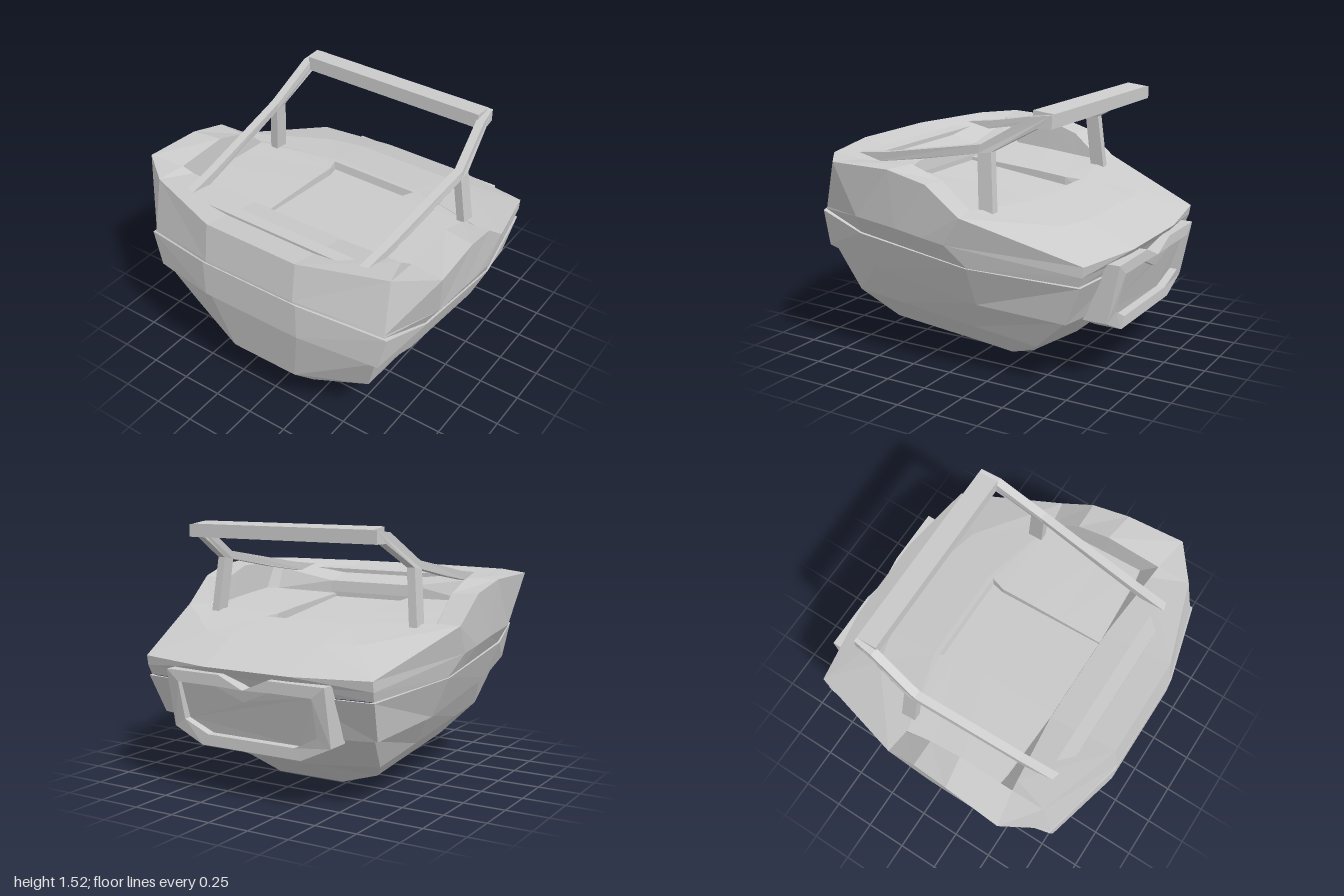
import * as THREE from 'three';

const material = new THREE.MeshStandardMaterial({ color: 0xcccccc, flatShading: true });

function add(group, name, geometry) {
  const mesh = new THREE.Mesh(geometry, material);
  mesh.name = name;
  group.add(mesh);
}

// Skin over symmetric loops. Each loop lists its +x half from front to rear;
// loops run from the top middle outward and down.
function loft(halves, capTop = false, capBottom = false) {
  const pos = [];
  const mirror = ([x, y, z]) => [-x, y, z];
  const tri = (a, b, c) => {
    const t = new THREE.Triangle(...[a, b, c].map(p => new THREE.Vector3(...p)));
    if (t.getArea() > 1e-6) pos.push(...a, ...b, ...c);
  };
  const quad = (a, b, c, d) => { tri(a, b, c); tri(a, c, d); };
  const loops = halves.map(h => [...h, ...h.map(mirror).reverse()]);
  for (let k = 0; k < loops.length - 1; k++) {
    const a = loops[k], b = loops[k + 1], n = a.length;
    for (let i = 0; i < n; i++) {
      const j = (i + 1) % n;
      // the diagonal runs from front low to rear high on both sides
      if (i < n / 2) quad(b[i], b[j], a[j], a[i]);
      else quad(a[i], b[i], b[j], a[j]);
    }
  }
  const cap = (h, up) => {
    for (let i = 0; i < h.length - 1; i++) {
      const q = [h[i], h[i + 1], mirror(h[i + 1]), mirror(h[i])];
      quad(...(up ? q : q.reverse()));
    }
  };
  if (capTop) cap(halves[0], true);
  if (capBottom) cap(halves[halves.length - 1], false);
  const g = new THREE.BufferGeometry();
  g.setAttribute('position', new THREE.Float32BufferAttribute(pos, 3));
  g.computeVertexNormals();
  return g;
}

const shape = pts => new THREE.Shape(pts.map(p => new THREE.Vector2(...p)));

// Extrude a [z, y] outline across x, centred on x = 0
function sideExtrude(outline, width) {
  const g = new THREE.ExtrudeGeometry(shape(outline.map(([z, y]) => [-z, y])), { depth: width, bevelEnabled: false });
  return g.translate(0, 0, -width / 2).rotateY(Math.PI / 2);
}

// Move every vertex by a rule
function warp(g, rule) {
  const p = g.attributes.position;
  for (let i = 0; i < p.count; i++) p.setXYZ(i, ...rule(p.getX(i), p.getY(i), p.getZ(i)));
  g.computeVertexNormals();
  return g;
}

export function createModel() {
  const model = new THREE.Group();
  model.name = 'boatBody';

  // Upper body: shallow floor channel, deck, rim and outer walls
  const channel = [[.26, 1, .475], [.26, 1, .475], [.26, 1, .475], [.26, .965, .2], [.26, .94, 0], [.26, .915, -.2], [.28, .905, -.28], [.28, .905, -.28]];
  const channelEdge = [[.26, 1.02, .475], [.26, 1.02, .475], [.26, 1.02, .475], [.26, 1, .2], [.26, .985, 0], [.26, .965, -.2], [.29, .955, -.29], [.29, .955, -.29]];
  const deck = [[.3, 1.03, .475], [.7, 1.03, .455], [.785, 1.03, .44], [.785, 1.01, .2], [.785, .99, 0], [.785, .975, -.18], [.3, .95, -.32], [.3, .95, -.32]];
  const rimInner = [[.3, 1.1, .485], [.72, 1.16, .53], [.79, 1.19, .54], [.79, 1.2, .2], [.79, 1.13, 0], [.79, .98, -.18], [.5, .885, -.58], [.3, .88, -.63]];
  const rimOuter = [[.3, 1.2, .9], [.79, 1.21, .74], [1, 1.21, .58], [.975, 1.2, .23], [.955, 1.14, 0], [.94, .98, -.2], [.75, .76, -.84], [.28, .75, -.915]];
  const wall = [[.3, .97, .934], [.8, .885, .802], [.94, .9, .48], [.935, .865, .22], [.93, .835, .05], [.92, .81, -.09], [.75, .7, -.83], [.28, .7, -.88]];
  const wallFoot = [[.3, .955, .935], [.8, .87, .805], [.87, .79, .5], [.87, .745, .2], [.87, .715, 0], [.87, .685, -.2], [.74, .645, -.81], [.28, .645, -.85]];
  add(model, 'upperBody', loft([channel, channelEdge, deck, rimInner, rimOuter, wall, wallFoot], true));

  // Belt band around the middle, slightly proud of the hull
  const inset = h => h.map(([x, y, z]) => [x * .965, y, z * .98]);
  const bandTop = [[.32, .95, .938], [.82, .865, .812], [.88, .785, .5], [.88, .685, -.2], [.75, .64, -.82], [.28, .64, -.86]];
  const bandBottom = [[.32, .72, .938], [.77, .645, .815], [.79, .565, .5], [.775, .45, -.2], [.715, .41, -.72], [.25, .39, -.77]];
  add(model, 'beltBand', loft([inset(bandTop), bandTop, bandBottom, inset(bandBottom)]));

  // Faceted lower hull with a flat-bottomed keel strip
  const bilge = [[.22, .3, .84], [.64, .35, .7], [.632, .315, .42], [.615, .25, -.08], [.6, .2, -.48], [.2, .17, -.53]];
  const chine = [[.22, .11, .66], [.46, .15, .56], [.458, .13, .35], [.455, .097, 0], [.45, .07, -.24], [.22, 0, -.25]];
  const keel = [.66, .56, .35, 0, -.23, -.25].map(z => [.22, (z + .25) * .121, z]);
  add(model, 'lowerHull', loft([inset(bandBottom), bilge, chine, keel], false, true));

  // Roll bar sides: sloping rail, post and raised arm in one outline
  const barOutline = [[.73, 1.13], [.73, 1.18], [.48, 1.21], [-.17, 1.325], [-.46, 1.495], [-.58, 1.51], [-.58, 1.435], [-.5, 1.435], [-.24, 1.29], [-.27, .95], [-.18, .95], [-.155, 1.275], [.23, 1.2], [.65, 1.13]];
  const barX = (y, z) => {
    if (z > -.1) return .595 + (.7 - z) * .065;
    return y > 1.3 ? .65 - (-.17 - z) * .12 : .65 + (1.3 - y) * .1;
  };
  for (const [side, name] of [[1, 'leftRollBar'], [-1, 'rightRollBar']])
    add(model, name, warp(sideExtrude(barOutline, .05), (x, y, z) => [x + side * barX(y, z), y, z]));

  // Cross members joining the two sides
  add(model, 'rollBarTop', sideExtrude([[-.455, 1.525], [-.58, 1.512], [-.58, 1.435], [-.455, 1.435]], 1.2));
  add(model, 'rollBarFoot', sideExtrude([[.65, 1.165], [.65, 1.11], [.73, 1.11], [.73, 1.175]], 1.24));

  // Leaning rear panel: notched frame around a recessed plate
  const frame = shape([[-.33, .29], [.33, .29], [.52, .38], [.52, .72], [.16, .72], [0, .65], [-.16, .72], [-.52, .72], [-.52, .38]]);
  const opening = [[-.29, .355], [.29, .355], [.44, .43], [.44, .655], [.18, .655], [0, .58], [-.18, .655], [-.44, .655], [-.44, .43]];
  frame.holes.push(new THREE.Path(opening.map(p => new THREE.Vector2(...p))));
  const lean = (x, y, w) => {
    const t = THREE.MathUtils.clamp((y - .37) / .28, 0, 1);
    return [x, y, THREE.MathUtils.lerp(-.87 - t * .07, -.72 - t * .14, w)];
  };
  const slab = (s, depth) => new THREE.ExtrudeGeometry(s, { depth, bevelEnabled: false });
  add(model, 'rearFrame', warp(slab(frame, 1), lean));
  add(model, 'rearPlate', warp(slab(shape(opening), .6).translate(0, 0, .35), lean));

  return model;
}
